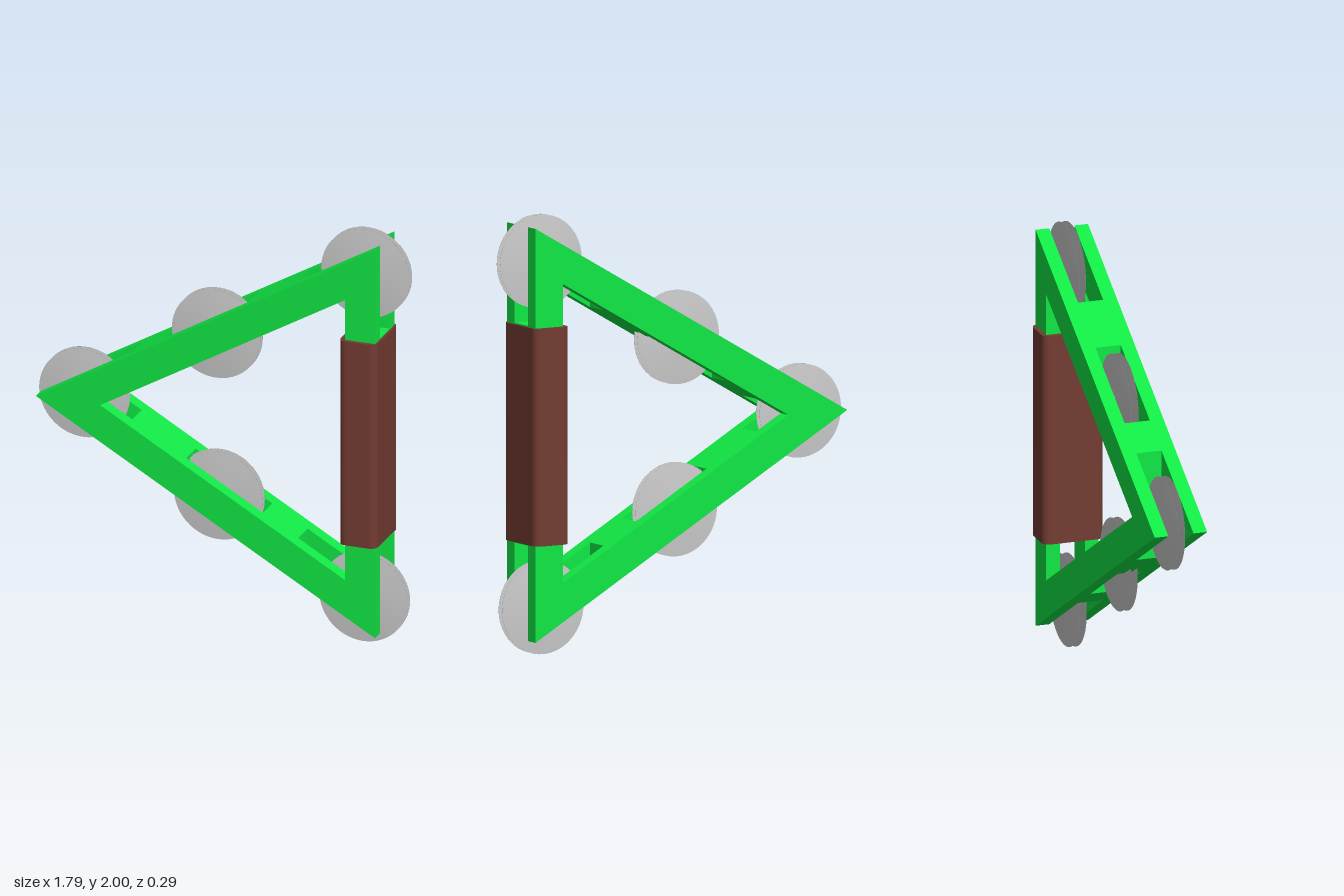
import * as THREE from 'three';

const MID = 1.0125, PLATE_IN = 0.06, PLATE_OUT = 0.125;
const green = new THREE.MeshStandardMaterial({ color: 0x11e845 });
const brown = new THREE.MeshStandardMaterial({ color: 0x733c32 });
const grey = new THREE.MeshStandardMaterial({ color: 0xcccccc });

// Heights of the arm's outer and inner edges above the middle line
const outerEdge = x => 0.576 * (x + 0.87);
const innerEdge = x => 0.576 * (x + 0.56);

const polygon = pts => new THREE.Shape(pts.map(([x, y]) => new THREE.Vector2(x, y)));

function slab(shape, z0, z1) {
  const geo = new THREE.ExtrudeGeometry(shape, { depth: z1 - z0, bevelEnabled: false, curveSegments: 6 });
  return geo.translate(0, 0, z0);
}

function add(parent, name, geo, mat) {
  const mesh = new THREE.Mesh(geo, mat);
  mesh.name = name;
  parent.add(mesh);
  return mesh;
}

export function createModel() {
  const model = new THREE.Group();
  model.name = 'triangularBladeWeapon';

  // Two triangular side plates
  const triangle = (left, right, edge) => [[left, MID], [right, MID - edge(right)], [right, MID + edge(right)]];
  const plate = polygon(triangle(-0.87, 0.765, outerEdge));
  plate.holes.push(polygon(triangle(-0.56, 0.62, innerEdge).reverse()));
  add(model, 'frontPlate', slab(plate, PLATE_IN, PLATE_OUT), green);
  add(model, 'backPlate', slab(plate, -PLATE_OUT, -PLATE_IN), green);

  // Spacer blocks between the plates, leaving slots for the blades
  const spacers = [
    ['upperSpacer', 1, -0.43, -0.27], ['upperSpacer', 1, 0.13, 0.37],
    ['lowerSpacer', -1, -0.43, -0.17], ['lowerSpacer', -1, 0.2, 0.37],
  ];
  for (const [name, s, a, b] of spacers) {
    const block = polygon([
      [a, MID + s * innerEdge(a)], [b, MID + s * innerEdge(b)],
      [b, MID + s * outerEdge(b)], [a, MID + s * outerEdge(a)],
    ]);
    add(model, name, slab(block, -PLATE_IN, PLATE_IN), green);
  }
  const core = new THREE.BoxGeometry(0.145, 1.0, 2 * PLATE_IN);
  add(model, 'gripSpacer', core, green).position.set(0.6925, 1.005, 0);

  // Grip with rounded long edges
  const w = 0.09, d = 0.145, r = 0.035;
  const section = new THREE.Shape();
  section.moveTo(-w + r, -d);
  section.lineTo(w - r, -d);
  section.absarc(w - r, -d + r, r, -Math.PI / 2, 0);
  section.absarc(w - r, d - r, r, 0, Math.PI / 2);
  section.absarc(-w + r, d - r, r, Math.PI / 2, Math.PI);
  section.absarc(-w + r, -d + r, r, Math.PI, Math.PI * 1.5);
  const grip = slab(section, 0, 0.99).rotateX(-Math.PI / 2);
  add(model, 'grip', grip, brown).position.set(0.685, 0.51, 0);

  // Paired lens-shaped blades on axles
  const profile = [[0, -0.014], [0.11, -0.008], [0.213, -0.001], [0.213, 0.001], [0.11, 0.008], [0, 0.014]];
  const bladeGeo = new THREE.LatheGeometry(profile.map(([x, y]) => new THREE.Vector2(x, y)), 64).rotateX(Math.PI / 2);
  const axleGeo = new THREE.CylinderGeometry(0.028, 0.028, 0.13, 24).rotateX(Math.PI / 2);
  const centres = [[-0.685, 1.01], [-0.045, 1.39], [0.675, 1.787], [-0.035, 0.607], [0.665, 0.213]];
  for (const [x, y] of centres) {
    const wheel = new THREE.Group();
    wheel.name = 'bladePair';
    wheel.position.set(x, y, 0);
    add(wheel, 'axle', axleGeo, grey);
    add(wheel, 'frontBlade', bladeGeo, grey).position.z = 0.009;
    add(wheel, 'backBlade', bladeGeo, grey).position.z = -0.022;
    model.add(wheel);
  }
  return model;
}
